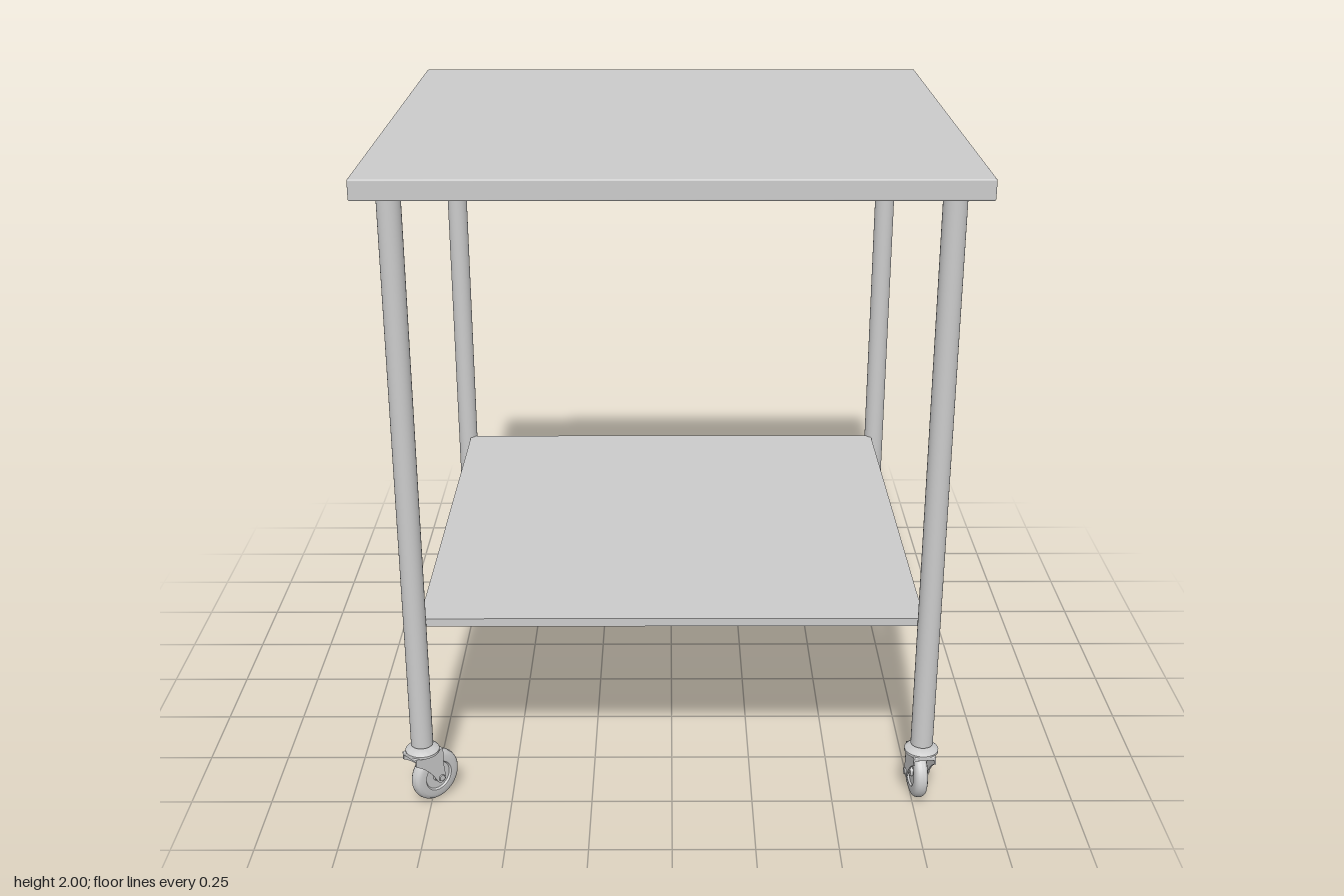
import * as THREE from 'three';
import { RoundedBoxGeometry } from 'three/addons/geometries/RoundedBoxGeometry.js';
import { toCreasedNormals } from 'three/addons/utils/BufferGeometryUtils.js';

const material = new THREE.MeshStandardMaterial({ color: 0xcccccc });
const AXLE_X = 0.041, AXLE_Y = 0.083, WHEEL_R = 0.083;

function part(parent, name, geometry, x = 0, y = 0, z = 0) {
  const mesh = new THREE.Mesh(geometry, material);
  mesh.name = name;
  mesh.position.set(x, y, z);
  parent.add(mesh);
  return mesh;
}

function lathe(points, segments = 40) {
  const g = new THREE.LatheGeometry(points.map(([r, y]) => new THREE.Vector2(r, y)), segments);
  return toCreasedNormals(g, 0.6);
}

// Wheel cross-section: recessed web, raised hub and rounded tread
function wheelGeometry() {
  const half = [[0, 0.023], [0.016, 0.023], [0.018, 0.015], [0.044, 0.015], [0.048, 0.021],
    [0.066, 0.021], [0.076, 0.017], [0.081, 0.01], [WHEEL_R, 0]];
  const lower = half.map(([r, y]) => [r, -y]);
  return lathe([...lower, ...half.slice(0, -1).reverse()]).rotateX(Math.PI / 2);
}

// Fork cheek that tapers from the swivel head down to the axle
function cheekGeometry() {
  const s = new THREE.Shape();
  s.moveTo(-0.05, 0.185);
  s.lineTo(0.052, 0.185);
  s.lineTo(0.052, 0.155);
  s.quadraticCurveTo(0.05, 0.12, AXLE_X + 0.017, AXLE_Y);
  s.absarc(AXLE_X, AXLE_Y, 0.017, 0, -Math.PI * 0.8, true);
  s.quadraticCurveTo(0.0, 0.13, -0.05, 0.16);
  s.closePath();
  return new THREE.ExtrudeGeometry(s, { depth: 0.005, bevelEnabled: false, curveSegments: 10 });
}

// Swivel caster whose wheel trails along local +x
function createCaster() {
  const caster = new THREE.Group();
  caster.name = 'caster';
  part(caster, 'stem', new THREE.CylinderGeometry(0.016, 0.016, 0.04, 20), 0, 0.205, 0);
  part(caster, 'swivelHead', lathe([[0, 0.178], [0.044, 0.178], [0.052, 0.183], [0.052, 0.191],
    [0.044, 0.198], [0.026, 0.202], [0, 0.202]], 32));
  part(caster, 'forkCrown', new RoundedBoxGeometry(0.102, 0.012, 0.07, 2, 0.003), 0.001, 0.18, 0);
  const cheek = cheekGeometry();
  for (const z of [0.03, -0.035]) part(caster, 'forkCheek', cheek, 0, 0, z);
  part(caster, 'wheel', wheelGeometry(), AXLE_X, AXLE_Y, 0);
  const axle = new THREE.CylinderGeometry(0.007, 0.007, 0.078, 16).rotateX(Math.PI / 2);
  part(caster, 'axle', axle, AXLE_X, AXLE_Y, 0);
  for (const z of [0.037, -0.037]) {
    const nut = new THREE.CylinderGeometry(0.011, 0.011, 0.006, 6).rotateX(Math.PI / 2);
    part(caster, 'axleNut', nut, AXLE_X, AXLE_Y, z);
  }
  return caster;
}

export function createModel() {
  const table = new THREE.Group();
  table.name = 'rollingTable';

  part(table, 'tableTop', new RoundedBoxGeometry(1.73, 0.06, 1.65, 2, 0.005), 0, 1.97, 0.003);
  part(table, 'lowerShelf', new THREE.BoxGeometry(1.514, 0.026, 1.453), 0, 0.622, 0.006);

  // Legs: x, z, then the direction in which each caster trails
  const corners = [
    [0.77, 0.745, -0.1, -1],
    [-0.77, 0.745, 0.72, -0.7],
    [0.77, -0.733, -0.78, -0.62],
    [-0.77, -0.733, 0.9, -0.43],
  ];
  const legGeometry = new THREE.CylinderGeometry(0.034, 0.034, 1.735, 32);
  for (const [x, z, dx, dz] of corners) {
    part(table, 'leg', legGeometry, x, 1.0775, z);
    const caster = createCaster();
    caster.position.set(x, 0, z);
    caster.rotation.y = Math.atan2(-dz, dx);
    table.add(caster);
  }
  return table;
}
